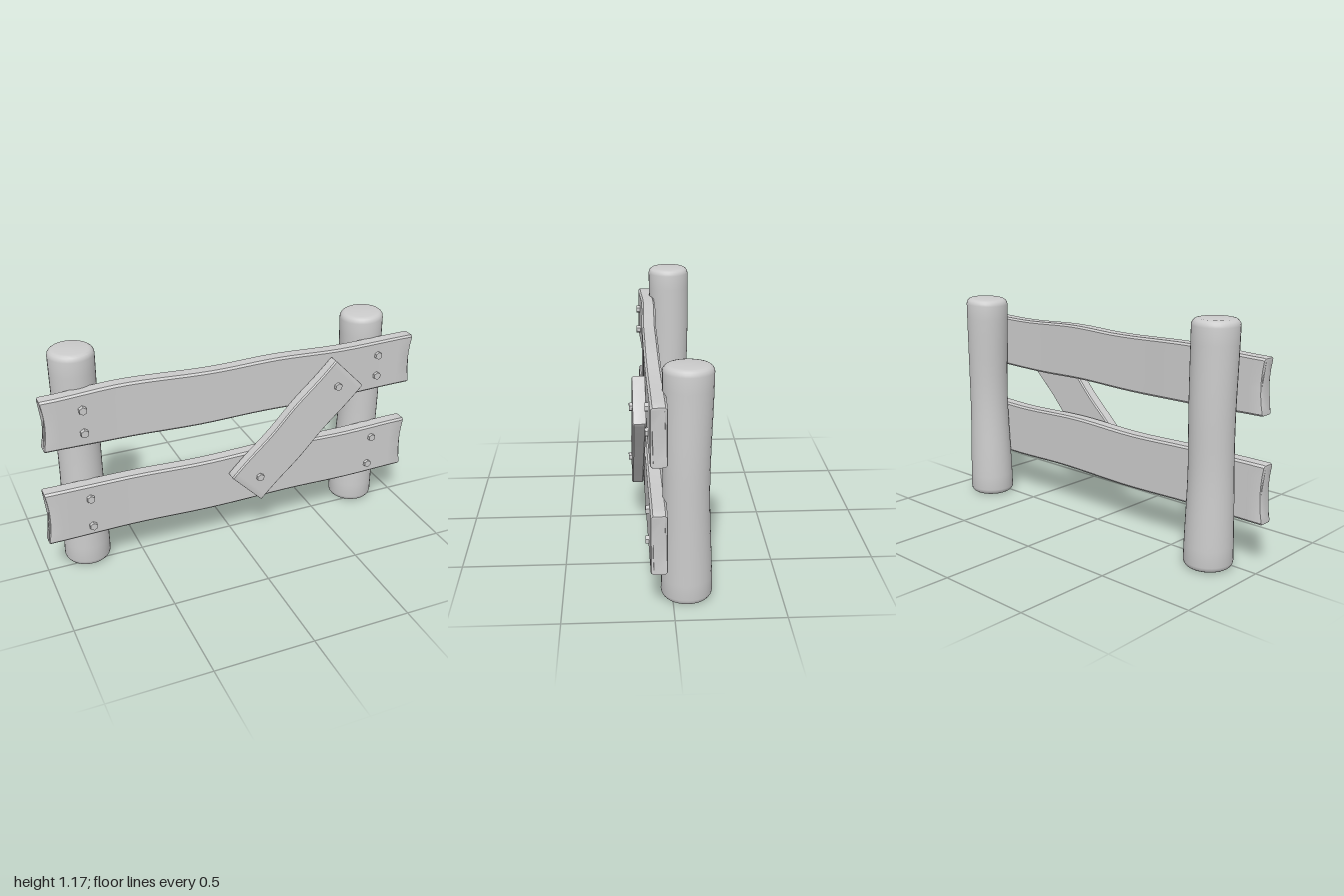
import * as THREE from 'three';
import { mergeVertices, toCreasedNormals } from 'three/addons/utils/BufferGeometryUtils.js';

const material = new THREE.MeshStandardMaterial({ color: 0xcccccc });

// Smooth interpolation through [position, value] keys
function follow(keys, t) {
  if (t <= keys[0][0]) return keys[0][1];
  for (let i = 1; i < keys.length; i++) {
    if (t <= keys[i][0]) {
      const [a, va] = keys[i - 1], [b, vb] = keys[i];
      return THREE.MathUtils.lerp(va, vb, THREE.MathUtils.smoothstep(t, a, b));
    }
  }
  return keys[keys.length - 1][1];
}

// Move every vertex by a rule, then renew the normals
function reshape(geometry, rule, crease) {
  geometry.deleteAttribute('uv');
  geometry.deleteAttribute('normal');
  const merged = mergeVertices(geometry, 1e-5);
  const p = merged.attributes.position, v = new THREE.Vector3();
  for (let i = 0; i < p.count; i++) {
    v.fromBufferAttribute(p, i);
    rule(v);
    p.setXYZ(i, v.x, v.y, v.z);
  }
  return toCreasedNormals(merged, crease);
}

function addMesh(group, name, geometry) {
  const mesh = new THREE.Mesh(geometry, material);
  mesh.name = name;
  group.add(mesh);
  return mesh;
}

// Round post with softened rims and a slight bend
function postGeometry(height, radius, bendX, bendZ, tilt) {
  const soft = 0.03, pts = [new THREE.Vector2(0, 0)];
  for (let i = 0; i <= 4; i++) {
    const a = (i / 4) * Math.PI / 2;
    pts.push(new THREE.Vector2(1 - 0.26 * (1 - Math.sin(a)), soft * (1 - Math.cos(a))));
  }
  for (let i = 1; i < 14; i++) pts.push(new THREE.Vector2(1, soft + (height - 2 * soft) * i / 14));
  for (let i = 4; i >= 0; i--) {
    const a = (i / 4) * Math.PI / 2;
    pts.push(new THREE.Vector2(1 - 0.26 * (1 - Math.sin(a)), height - soft * (1 - Math.cos(a))));
  }
  pts.push(new THREE.Vector2(0, height));
  return reshape(new THREE.LatheGeometry(pts, 32), (v) => {
    const r = follow(radius, v.y), y = v.y;
    v.y += tilt * v.x * r * (y / height);
    v.x = v.x * r + follow(bendX, y);
    v.z = v.z * r + follow(bendZ, y);
  }, 0.75);
}

// Plank along x, unit half-height in y before shaping, with bevelled edges
function plankGeometry(length, height, depth, bevel, rule) {
  const a = depth / 2 - bevel, b = height / 2 - bevel, n = 6, c = Math.min(0.004, a / 3);
  const pts = [];
  for (let i = 0; i <= n; i++) pts.push(new THREE.Vector2(a, (b - c) * (2 * i / n - 1)));
  pts.push(new THREE.Vector2(a - c, b), new THREE.Vector2(c - a, b));
  for (let i = 0; i <= n; i++) pts.push(new THREE.Vector2(-a, (b - c) * (1 - 2 * i / n)));
  pts.push(new THREE.Vector2(c - a, -b), new THREE.Vector2(a - c, -b));
  const geometry = new THREE.ExtrudeGeometry(new THREE.Shape(pts), {
    depth: length - 2 * bevel, steps: 28, bevelEnabled: true,
    bevelSize: bevel, bevelThickness: bevel, bevelSegments: 2,
  });
  geometry.translate(0, 0, bevel - length / 2);
  geometry.rotateY(Math.PI / 2);
  return reshape(geometry, rule, 0.6);
}

// Rail whose upper and lower edges follow keys, with hollowed ends
function railGeometry(x0, x1, bottom, top, sway) {
  const length = x1 - x0, h = 0.28, mid = (x0 + x1) / 2;
  return plankGeometry(length, h, 0.074, 0.01, (v) => {
    const k = v.y / h + 0.5, s = 2 * v.x / length;
    v.x += mid - Math.sign(s) * 0.017 * (1 - (2 * k - 1) ** 2) * Math.abs(s) ** 20;
    v.y = THREE.MathUtils.lerp(follow(bottom, v.x), follow(top, v.x), k);
    v.z += 0.068 + follow(sway, v.x);
  });
}

export function createModel() {
  const model = new THREE.Group();
  model.name = 'fence';

  // Posts
  const rightPost = addMesh(model, 'rightPost', postGeometry(1.17,
    [[0, 0.118], [0.55, 0.106], [1.17, 0.111]],
    [[0, 0], [0.6, 0.002], [1.17, 0]],
    [[0, 0], [0.4, 0.004], [0.75, -0.002], [1.17, 0.004]], 0));
  rightPost.position.set(-0.775, 0, -0.065);
  const leftPost = addMesh(model, 'leftPost', postGeometry(1.11,
    [[0, 0.118], [0.55, 0.105], [1.1, 0.112]],
    [[0, 0], [0.6, 0.014], [1.1, 0]],
    [[0, 0], [0.6, 0.006], [1.1, 0]], 0.05));
  leftPost.position.set(0.777, 0, -0.065);

  // Rails
  addMesh(model, 'upperRail', railGeometry(-0.978, 0.997,
    [[-0.97, 0.735], [-0.6, 0.727], [-0.2, 0.721], [0.15, 0.728], [0.45, 0.722], [0.99, 0.732]],
    [[-0.97, 1], [-0.57, 1.015], [-0.1, 1.002], [0.2, 1.01], [0.6, 0.995], [0.99, 1.002]],
    [[-0.97, 0], [-0.6, -0.009], [-0.1, 0.002], [0.3, 0.005], [0.99, 0.001]]));
  addMesh(model, 'lowerRail', railGeometry(-1, 0.993,
    [[-0.98, 0.224], [-0.6, 0.227], [-0.15, 0.217], [0.3, 0.225], [0.65, 0.218], [0.98, 0.224]],
    [[-0.98, 0.512], [-0.6, 0.512], [-0.2, 0.502], [0.2, 0.513], [0.6, 0.502], [0.98, 0.512]],
    [[-0.98, 0], [-0.5, -0.004], [0.2, 0.003], [0.98, 0]]));

  // Diagonal brace
  const brace = addMesh(model, 'brace', plankGeometry(0.79, 0.236, 0.06, 0.004, (v) => {
    v.y += 0.004 * Math.sin(v.x * 14) * (1 - (v.x / 0.395) ** 2);
  }));
  brace.position.set(0.31, 0.607, 0.14);
  brace.rotation.z = 0.777;

  // Hexagonal bolt heads
  const boltGeometry = new THREE.CylinderGeometry(0.02, 0.022, 0.03, 6).toNonIndexed();
  boltGeometry.rotateX(Math.PI / 2);
  boltGeometry.computeVertexNormals();
  const bolts = [
    [-0.78, 0.925, 0.106], [-0.78, 0.805, 0.106], [0.788, 0.925, 0.106], [0.788, 0.81, 0.106],
    [-0.777, 0.44, 0.106], [-0.775, 0.282, 0.106], [0.788, 0.44, 0.106], [0.773, 0.28, 0.106],
    [0.525, 0.825, 0.17], [0.098, 0.39, 0.17],
  ];
  bolts.forEach((p, i) => addMesh(model, `bolt${i + 1}`, boltGeometry).position.set(...p));

  return model;
}
